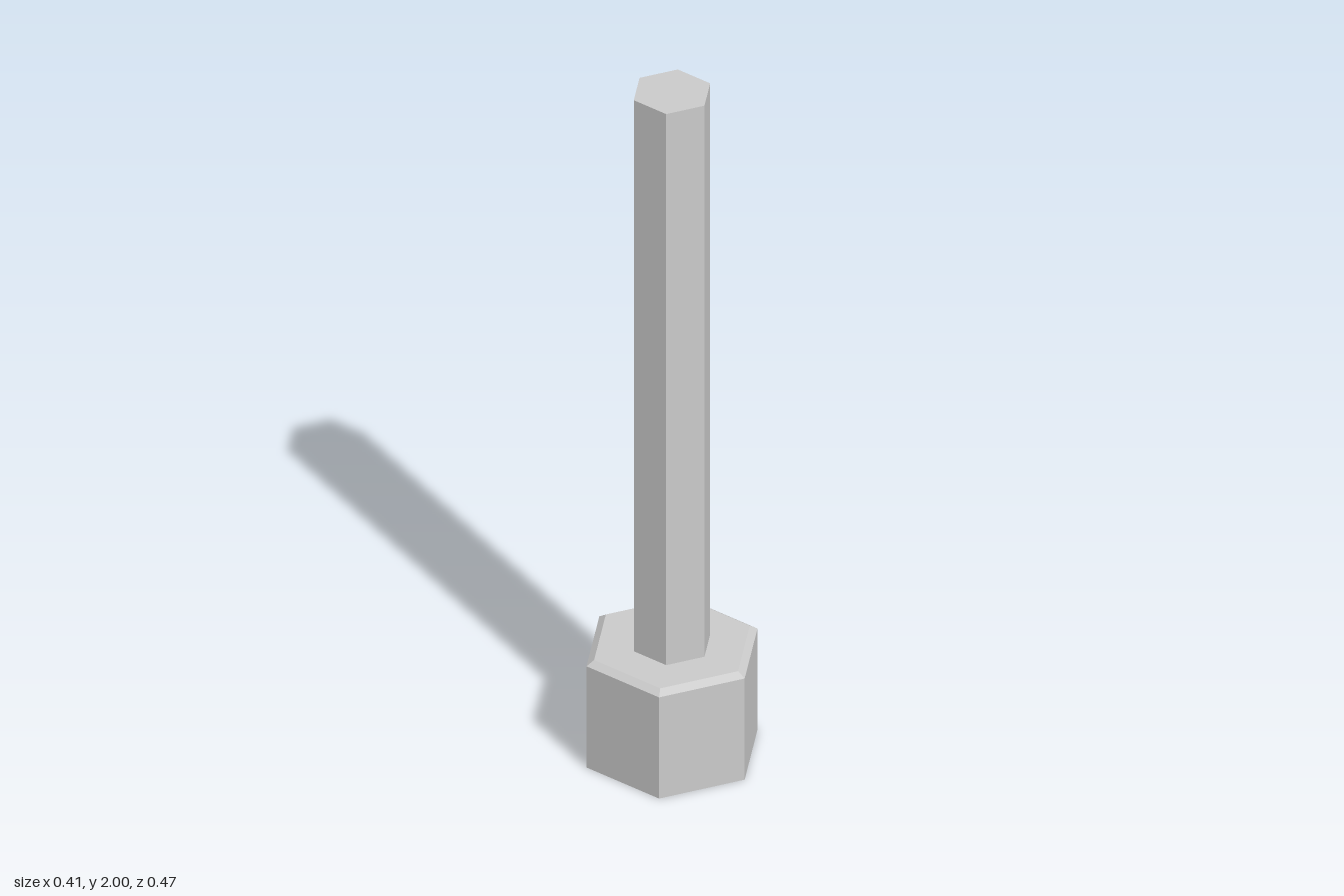
import * as THREE from 'three';

const SIDES = 6;
const HEAD_TOP = 0.322;

export function createModel() {
  const group = new THREE.Group();
  group.name = 'hexBolt';
  const material = new THREE.MeshStandardMaterial({ color: 0xcccccc, flatShading: true });

  // Revolve a [radius, height] profile into a hexagonal solid with corners on +z and -z
  const addHexPart = (name, profile) => {
    const points = profile.map(([r, y]) => new THREE.Vector2(r, y));
    const mesh = new THREE.Mesh(new THREE.LatheGeometry(points, SIDES), material);
    mesh.name = name;
    group.add(mesh);
  };

  // Head: flat base, chamfered upper rim
  addHexPart('head', [[0, 0], [0.235, 0], [0.235, 0.308], [0.214, HEAD_TOP], [0, HEAD_TOP]]);

  // Shaft: plain hexagonal rod rising from the head
  addHexPart('shaft', [[0.105, HEAD_TOP], [0.105, 2], [0, 2]]);

  return group;
}
